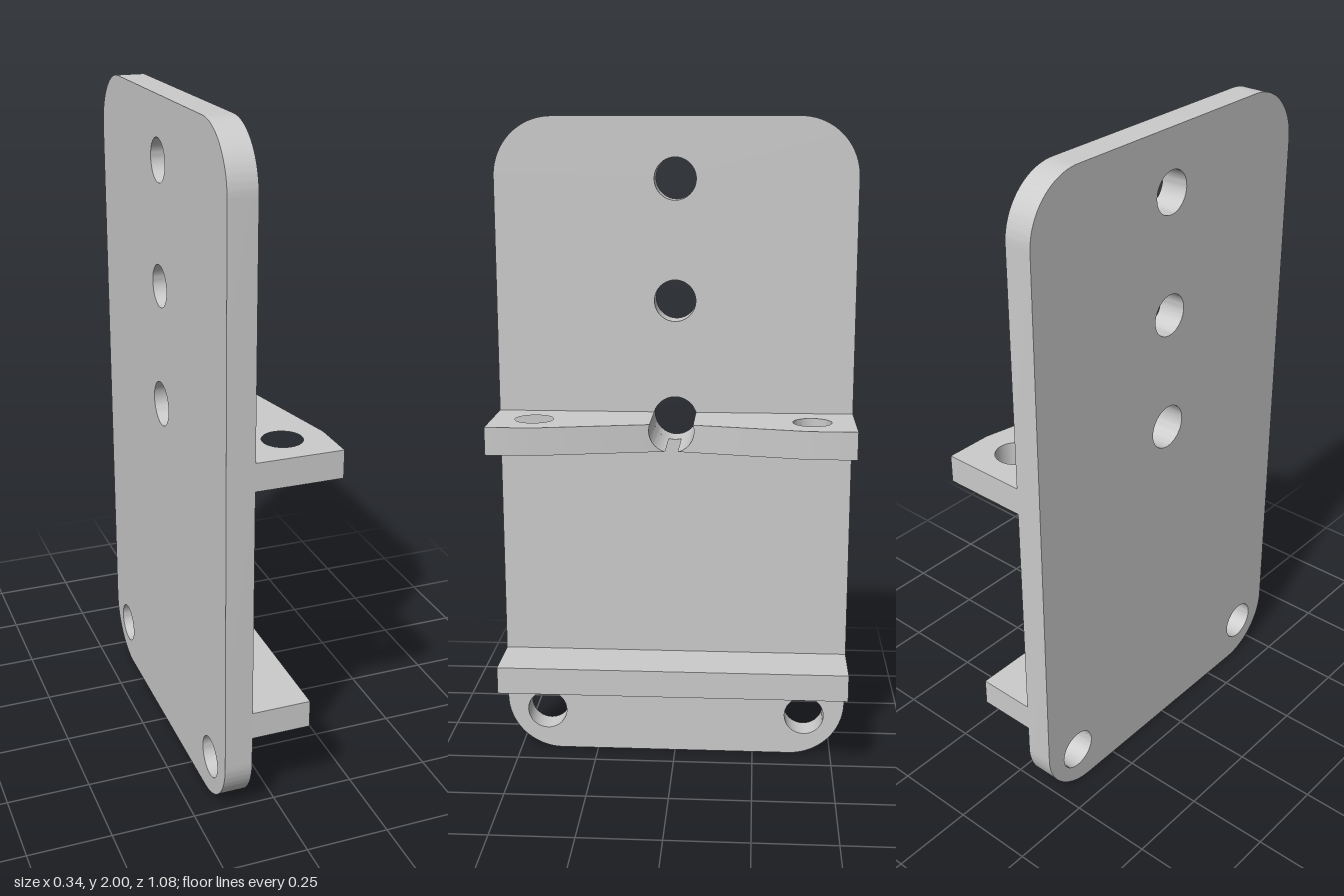
import * as THREE from 'three';
import { toCreasedNormals } from 'three/addons/utils/BufferGeometryUtils.js';

const BACK = -0.17, FACE = -0.087, FRONT = 0.17, HALF = 0.541;
const material = new THREE.MeshStandardMaterial({ color: 0xcccccc });

function addMesh(group, name, geometry) {
  const mesh = new THREE.Mesh(toCreasedNormals(geometry, 0.5), material);
  mesh.name = name;
  group.add(mesh);
}

function addHole(shape, x, y, r) {
  shape.holes.push(new THREE.Path().absarc(x, y, r, 0, Math.PI * 2, true));
}

// Upright plate with rounded corners and five through holes
function plateGeometry() {
  const r = 0.175, c = HALF - r;
  const shape = new THREE.Shape();
  shape.absarc(c, r, r, -Math.PI / 2, 0);
  shape.absarc(c, 2 - r, r, 0, Math.PI / 2);
  shape.absarc(-c, 2 - r, r, Math.PI / 2, Math.PI);
  shape.absarc(-c, r, r, Math.PI, Math.PI * 1.5);
  addHole(shape, 0, 1.82, 0.0625);
  addHole(shape, 0, 1.46, 0.0625);
  addHole(shape, 0, 1.1, 0.0667);
  for (const s of [-1, 1]) addHole(shape, s * 0.414, 0.13, 0.0625);
  const geometry = new THREE.ExtrudeGeometry(shape, { depth: FACE - BACK, bevelEnabled: false, curveSegments: 20 });
  return geometry.rotateY(Math.PI / 2).translate(BACK, 0, 0);
}

// Half of the upper shelf: tapered front, vertical hole, inner end hollowed by a round groove
function shelfHalfGeometry(side) {
  const bottom = 1.036, top = 1.119, grooveY = 1.1, grooveR = 0.0667;
  const taper = z => 0.089 + (FRONT - 0.089) * z / 0.4;
  const shape = new THREE.Shape([
    [FACE, 0.03], [taper(0.03), 0.03], [FRONT, 0.4], [FRONT, HALF], [FACE, HALF],
  ].map(([x, z]) => new THREE.Vector2(x, z * side)));
  addHole(shape, 0.042, 0.414 * side, 0.058);
  const geometry = new THREE.ExtrudeGeometry(shape, { depth: 1, steps: 12, bevelEnabled: false, curveSegments: 20 });
  geometry.rotateX(-Math.PI / 2);

  // Space the layers evenly round the groove and move the inner end onto it
  const a0 = Math.asin((bottom - grooveY) / grooveR);
  const a1 = Math.asin((top - grooveY) / grooveR);
  const p = geometry.attributes.position;
  for (let i = 0; i < p.count; i++) {
    const a = THREE.MathUtils.lerp(a0, a1, p.getY(i));
    p.setY(i, grooveY + grooveR * Math.sin(a));
    if (Math.abs(p.getZ(i)) < 0.1) {
      const z = grooveR * Math.cos(a);
      p.setZ(i, Math.sign(p.getZ(i)) * z);
      if (p.getX(i) > 0) p.setX(i, taper(z));
    }
  }
  return geometry;
}

export function createModel() {
  const group = new THREE.Group();
  group.name = 'bracket';
  addMesh(group, 'backPlate', plateGeometry());
  addMesh(group, 'upperShelfFrontHalf', shelfHalfGeometry(-1));
  addMesh(group, 'upperShelfRearHalf', shelfHalfGeometry(1));

  // Plain lower ledge
  const depth = 0.091 - FACE;
  const ledge = new THREE.BoxGeometry(depth, 0.084, HALF * 2);
  addMesh(group, 'lowerShelf', ledge.translate(FACE + depth / 2, 0.3, 0));
  return group;
}
